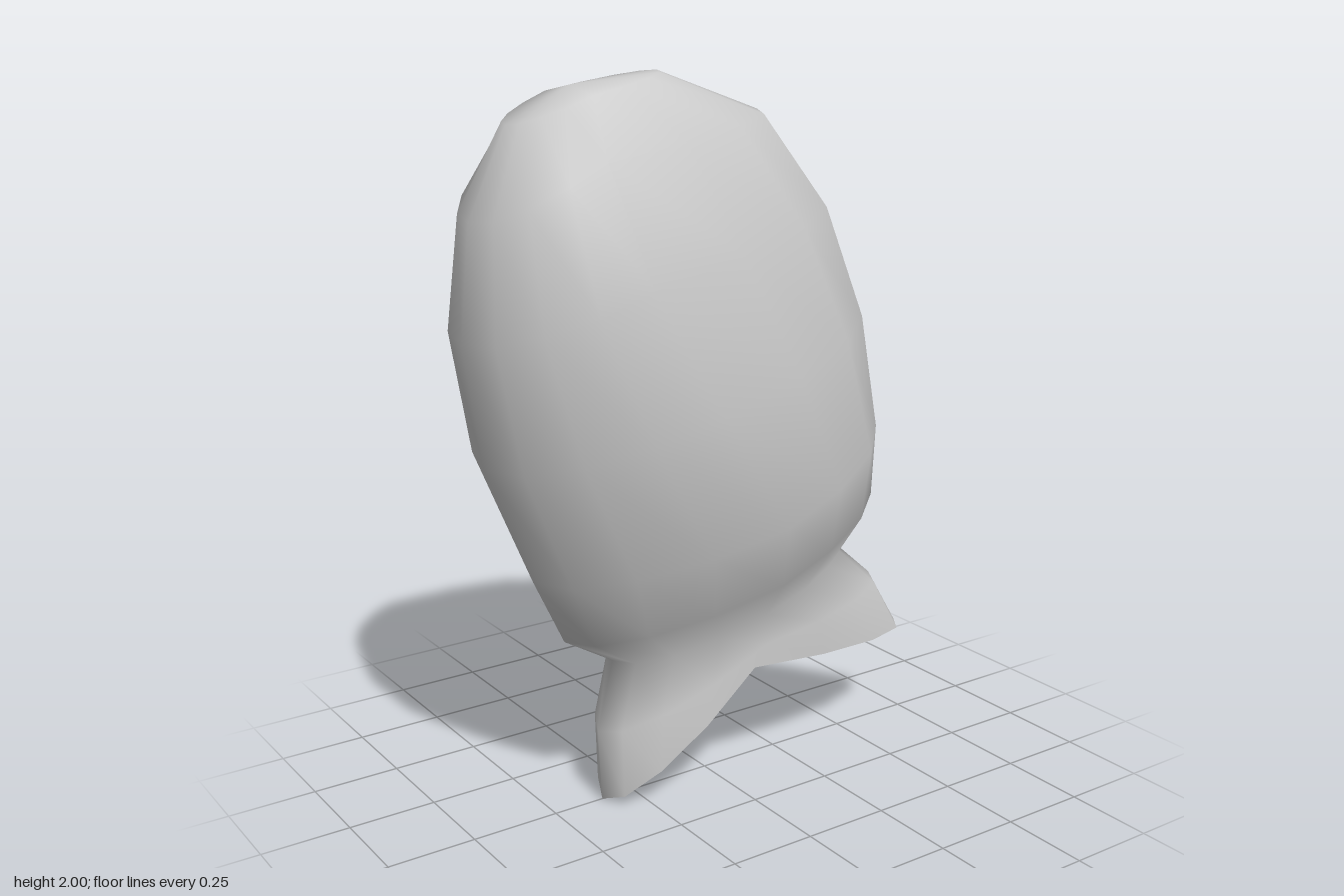
import * as THREE from 'three';
import { mergeVertices } from 'three/addons/utils/BufferGeometryUtils.js';

const SIDES = 16;

// Sections from crown to tail: right edge x,y | fullest point x,y | left edge x,y | half depth
const SECTIONS = [
  [-0.59, 1.88, -0.41, 1.95, -0.15, 2.00, 0.12],
  [-0.70, 1.65, -0.45, 1.80, 0.17, 1.89, 0.25],
  [-0.73, 1.35, -0.38, 1.50, 0.37, 1.64, 0.34],
  [-0.68, 1.02, -0.19, 1.16, 0.49, 1.33, 0.37],
  [-0.55, 0.69, 0.04, 0.82, 0.55, 1.00, 0.34],
  [-0.46, 0.50, 0.09, 0.62, 0.565, 0.78, 0.25],
  [-0.31, 0.41, 0.08, 0.52, 0.45, 0.62, 0.19],
  [-0.36, 0.21, 0.08, 0.43, 0.61, 0.48, 0.19],
  [-0.35, 0.00, 0.04, 0.37, 0.72, 0.30, 0.19], // forked rim
];

function ring([lx, ly, mx, my, rx, ry, depth]) {
  const points = [];
  for (let j = 0; j < SIDES; j++) {
    const a = (j / SIDES) * Math.PI * 2;
    const c = Math.cos(a), k = Math.abs(c);
    const [ex, ey] = c > 0 ? [rx, ry] : [lx, ly];
    points.push([mx + k * (ex - mx), my + k * (ey - my), depth * Math.sin(a)]);
  }
  return points;
}

const pole = (x, y) => Array.from({ length: SIDES }, () => [x, y, 0]);

// Skin a list of rings, welding vertices for smooth normals
function loft(rings) {
  const index = [];
  for (let i = 0; i < rings.length - 1; i++) {
    for (let j = 0; j < SIDES; j++) {
      const k = (j + 1) % SIDES;
      const a = i * SIDES + j, b = i * SIDES + k;
      index.push(a, b, a + SIDES, b, b + SIDES, a + SIDES);
    }
  }
  const geometry = new THREE.BufferGeometry();
  geometry.setAttribute('position', new THREE.Float32BufferAttribute(rings.flat(2), 3));
  geometry.setIndex(index);
  const welded = mergeVertices(geometry);
  welded.computeVertexNormals();
  return welded;
}

export function createModel() {
  const group = new THREE.Group();
  const material = new THREE.MeshStandardMaterial({ color: 0xcccccc });
  const add = (name, geometry) => {
    const mesh = new THREE.Mesh(geometry, material);
    mesh.name = name;
    group.add(mesh);
  };
  const rings = SECTIONS.map(ring);

  // Rounded body flowing through the neck into the forked tail
  add('bodyAndTail', loft([pole(-0.41, 1.97), ...rings]));

  // Underside closing the fork, with its own hard edge
  add('tailUnderside', loft([rings[rings.length - 1], pole(0.02, 0.35)]));

  return group;
}
